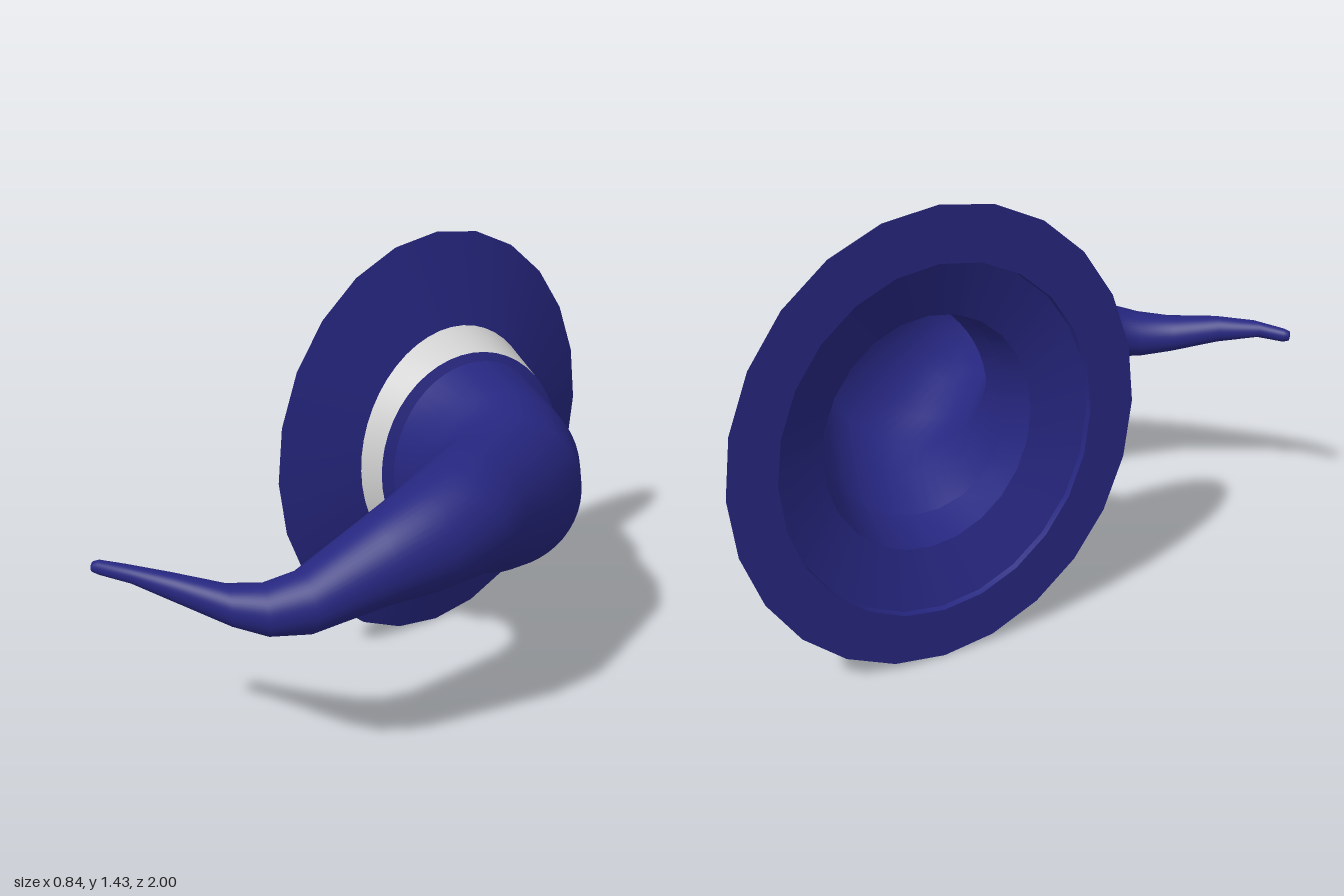
import * as THREE from 'three';

const cloth = new THREE.MeshStandardMaterial({ color: 0x262680, side: THREE.DoubleSide });
cloth.name = 'navyCloth';
const ribbon = new THREE.MeshStandardMaterial({ color: 0xd0d0d0, side: THREE.DoubleSide });
ribbon.name = 'greyRibbon';

// Skin elliptical sections [innerX, innerZ, outerX, outerZ, centreY, radiusY]
function loft(name, sections, material, sides = 48) {
  const positions = [];
  const index = [];
  sections.forEach(([ix, iz, ox, oz, cy, ry], i) => {
    const cx = (ix + ox) / 2, cz = (iz + oz) / 2;
    for (let j = 0; j < sides; j++) {
      const t = (j / sides) * Math.PI * 2;
      const c = Math.cos(t), s = Math.sin(t);
      positions.push(cx + c * (ox - cx), cy + s * ry, cz + c * (oz - cz));
      if (i === sections.length - 1) continue;
      const a = i * sides + j, b = i * sides + (j + 1) % sides;
      index.push(a, b, a + sides, b, b + sides, a + sides);
    }
  });
  const geometry = new THREE.BufferGeometry();
  geometry.setAttribute('position', new THREE.Float32BufferAttribute(positions, 3));
  geometry.setIndex(index);
  geometry.computeVertexNormals();
  const mesh = new THREE.Mesh(geometry, material);
  mesh.name = name;
  return mesh;
}

// Section parallel to the brim: fraction of its radius, height along its axis
function brimRing(ratio, height) {
  const cx = -0.335 + 0.99 * height, cz = -0.37 + 0.135 * height;
  const ux = 0.085 * ratio, uz = -0.627 * ratio;
  return [cx - ux, cz - uz, cx + ux, cz + uz, 0.716, 0.716 * ratio];
}

export function createModel() {
  const hat = new THREE.Group();
  hat.name = 'pointedHat';

  const edge = brimRing(1, 0);
  const bandBase = brimRing(0.582, 0.08);
  const bandTop = [-0.235, -0.02, 0, -0.613, 0.712, 0.378];
  const opening = brimRing(0.52, 0.078);

  // Bent crown, from the band round to the curled tip
  const crown = [
    [-0.21, -0.05, 0, -0.588, 0.712, 0.35],
    [-0.1, -0.05, 0.22, -0.47, 0.715, 0.3],
    [-0.03, 0, 0.3, -0.38, 0.715, 0.265],
    [0.02, 0.06, 0.345, -0.2, 0.735, 0.235],
    [0.05, 0.12, 0.388, -0.02, 0.772, 0.198],
    [0.085, 0.22, 0.42, 0.11, 0.78, 0.176],
    [0.095, 0.3, 0.4, 0.28, 0.765, 0.157],
    [0.08, 0.4, 0.33, 0.44, 0.73, 0.13],
    [0.04, 0.6, 0.22, 0.65, 0.652, 0.092],
    [0, 0.67, 0.135, 0.75, 0.638, 0.076],
    [-0.07, 0.75, 0.05, 0.81, 0.65, 0.06],
    [-0.18, 0.85, -0.1, 0.89, 0.69, 0.043],
    [-0.29, 0.925, -0.22, 0.95, 0.715, 0.026],
    [-0.36, 0.96, -0.335, 0.99, 0.715, 0.022],
    [-0.372, 0.972, -0.355, 0.998, 0.715, 0.015],
    [-0.365, 0.986, -0.365, 0.986, 0.715, 0],
  ];
  hat.add(loft('crown', crown, cloth));

  // Band and the small ledge above it
  hat.add(loft('band', [bandBase, bandTop], ribbon));
  hat.add(loft('bandLedge', [bandTop, crown[0]], cloth));

  // Brim: sloping top, flat rim below, shallow step and recessed underside
  const stepLow = brimRing(0.77, 0), stepHigh = brimRing(0.765, 0.018);
  hat.add(loft('brimTop', [edge, brimRing(0.57, 0.082)], cloth, 24));
  hat.add(loft('brimRim', [stepLow, edge], cloth, 24));
  hat.add(loft('brimStep', [stepHigh, stepLow], cloth, 24));
  hat.add(loft('brimUnderside', [opening, stepHigh], cloth, 24));

  // Lining from the head opening up to the crown
  hat.add(loft('lining', [crown[0], opening], cloth, 24));

  return hat;
}
